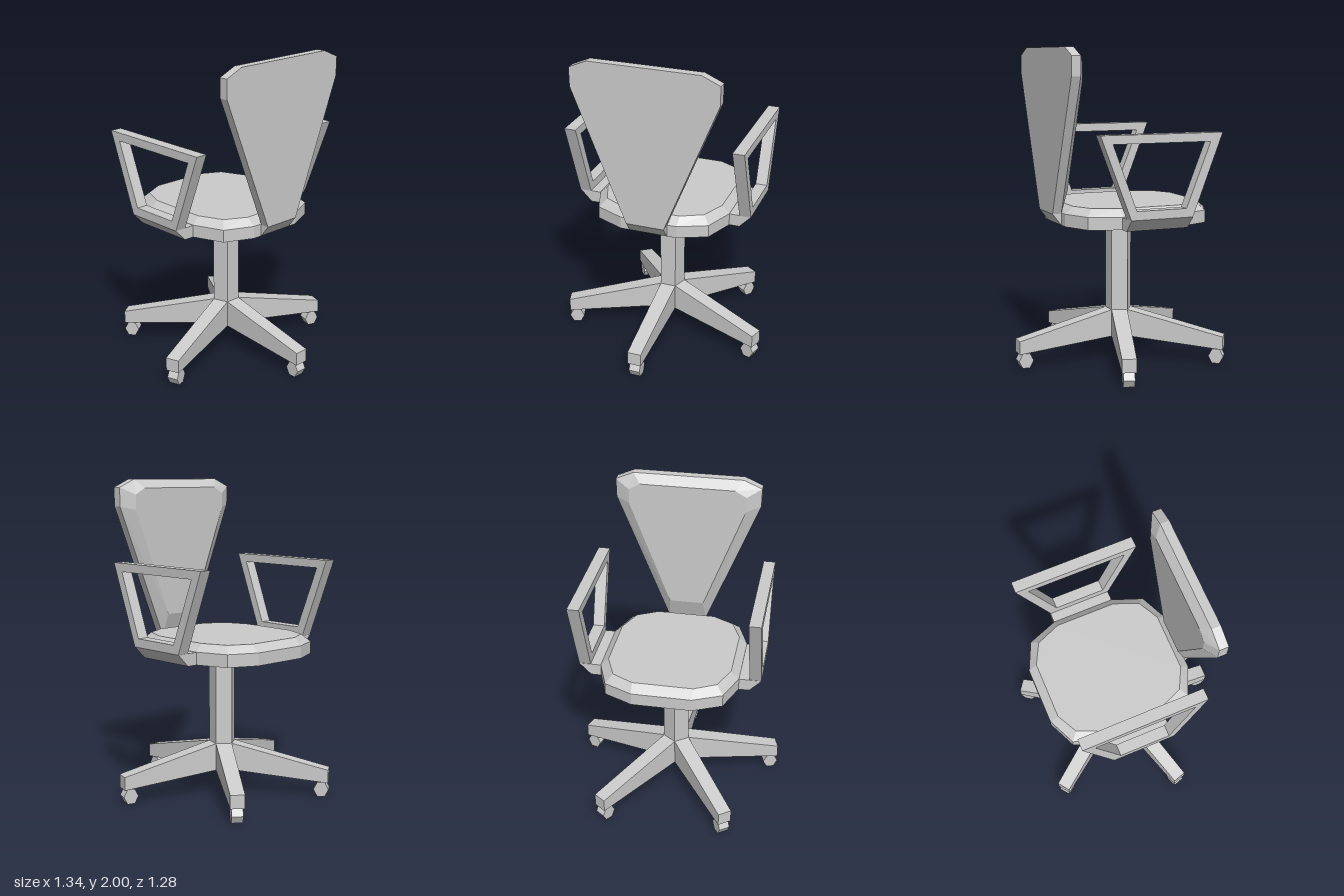
import * as THREE from 'three';

const material = new THREE.MeshStandardMaterial({ color: 0xcccccc, flatShading: true });

function part(name, geometry, parent) {
  const mesh = new THREE.Mesh(geometry, material);
  mesh.name = name;
  parent.add(mesh);
  return mesh;
}

// Closed solid through convex rings, each counter-clockwise seen from the last ring's end
function loft(rings) {
  const pos = [];
  const tri = (a, b, c) => pos.push(...a, ...b, ...c);
  const n = rings[0].length;
  for (let i = 0; i < rings.length - 1; i++) {
    for (let j = 0; j < n; j++) {
      const k = (j + 1) % n;
      tri(rings[i][j], rings[i][k], rings[i + 1][k]);
      tri(rings[i][j], rings[i + 1][k], rings[i + 1][j]);
    }
  }
  const first = rings[0], last = rings[rings.length - 1];
  for (let j = 1; j < n - 1; j++) {
    tri(first[0], first[j + 1], first[j]);
    tri(last[0], last[j], last[j + 1]);
  }
  const g = new THREE.BufferGeometry();
  g.setAttribute('position', new THREE.Float32BufferAttribute(pos, 3));
  g.computeVertexNormals();
  return g;
}

// Half outline mirrored in x, at depth z
function mirroredRing(half, z) {
  const left = half.map(([x, y]) => [-x, y]).reverse();
  return [...half, ...left].map(([x, y]) => [x, y, z]);
}

// Twelve-sided seat ring from one quadrant
function seatRing(quadrant, y) {
  const back = [...quadrant].reverse();
  return [
    ...quadrant.map(([x, z]) => [x, y, -z]),
    ...back.map(([x, z]) => [-x, y, -z]),
    ...quadrant.map(([x, z]) => [-x, y, z]),
    ...back.map(([x, z]) => [x, y, z]),
  ];
}

function shapeOf(points) {
  return new THREE.Shape(points.map(([x, y]) => new THREE.Vector2(x, y)));
}

function extrude(shape, depth) {
  return new THREE.ExtrudeGeometry(shape, { depth, bevelEnabled: false });
}

export function createModel() {
  const model = new THREE.Group();
  model.name = 'officeChair';

  // Five-legged base around a pentagonal column
  const base = new THREE.Group();
  base.name = 'base';
  base.position.z = -0.05;
  model.add(base);
  const R = 0.087;
  const column = part('column', new THREE.CylinderGeometry(R, R, 0.77, 5), base);
  column.position.y = 0.15 + 0.385;
  column.rotation.y = Math.PI;

  const legSection = (w, bottom, top, z) =>
    [[-w, bottom, z], [w, bottom, z], [w, top, z], [-w, top, z]];
  const legGeometry = loft([
    legSection(R * Math.sin(Math.PI / 5), 0.15, 0.325, R * Math.cos(Math.PI / 5)),
    legSection(0.0445, 0.093, 0.177, 0.69),
  ]);
  // Hexagonal wheel, corners pointing along the leg
  const casterGeometry = new THREE.CylinderGeometry(0.048, 0.048, 0.07, 6);
  casterGeometry.rotateZ(Math.PI / 2).scale(1, 1.11, 1);
  for (let i = 0; i < 5; i++) {
    const arm = new THREE.Group();
    arm.name = 'leg' + (i + 1);
    arm.rotation.y = (i * Math.PI * 2) / 5;
    base.add(arm);
    part('legBeam', legGeometry, arm);
    part('caster', casterGeometry, arm).position.set(0, 0.046, 0.645);
  }

  const upper = new THREE.Group();
  upper.name = 'upperBody';
  upper.position.x = 0.006;
  model.add(upper);

  // Seat with a bevelled upper rim
  const outer = [[0.435, 0.2025], [0.3625, 0.395], [0.184, 0.475]];
  const inner = [[0.385, 0.195], [0.32, 0.352], [0.186, 0.421]];
  const seat = part('seat',
    loft([seatRing(outer, 0.912), seatRing(outer, 0.99), seatRing(inner, 1.036)]), upper);
  seat.position.z = -0.086;

  // Backrest, bevelled towards the sitter
  const full = [[0.122, 0.985], [0.461, 1.83], [0.463, 1.95], [0.349, 2]];
  const inset = [[0.11, 1.125], [0.372, 1.81], [0.372, 1.905], [0.3, 1.945]];
  part('backrest',
    loft([mirroredRing(inset, 0.343), mirroredRing(full, 0.39), mirroredRing(full, 0.447)]), upper);

  // Sloped bracket joining seat and backrest
  const backBracket = extrude(
    shapeOf([[-0.36, 0.912], [-0.36, 0.985], [-0.447, 0.985], [-0.389, 0.912]]), 0.244);
  backBracket.rotateY(Math.PI / 2).translate(-0.122, 0, 0);
  part('backBracket', backBracket, upper);

  // Armrests: sloped bracket and open trapezoid frame
  const bracketShape = shapeOf([[0.4, 0.912], [0.5, 0.912], [0.574, 0.988], [0.4, 0.988]]);
  const frameShape = shapeOf([[-0.118, 0.988], [0.287, 0.988], [0.483, 1.493], [-0.314, 1.493]]);
  frameShape.holes.push(new THREE.Path(
    [[-0.082, 1.042], [-0.235, 1.44], [0.402, 1.44], [0.243, 1.042]]
      .map(([x, y]) => new THREE.Vector2(x, y))));
  const bracketGeometry = extrude(bracketShape, 0.405).translate(0, 0, -0.289);
  const frameGeometry = extrude(frameShape, 0.074).rotateY(Math.PI / 2);
  for (const side of [1, -1]) {
    const armrest = new THREE.Group();
    armrest.name = side > 0 ? 'leftArmrest' : 'rightArmrest';
    armrest.scale.x = side;
    upper.add(armrest);
    part('armBracket', bracketGeometry, armrest);
    part('armFrame', frameGeometry, armrest).position.x = 0.5;
  }

  return model;
}
